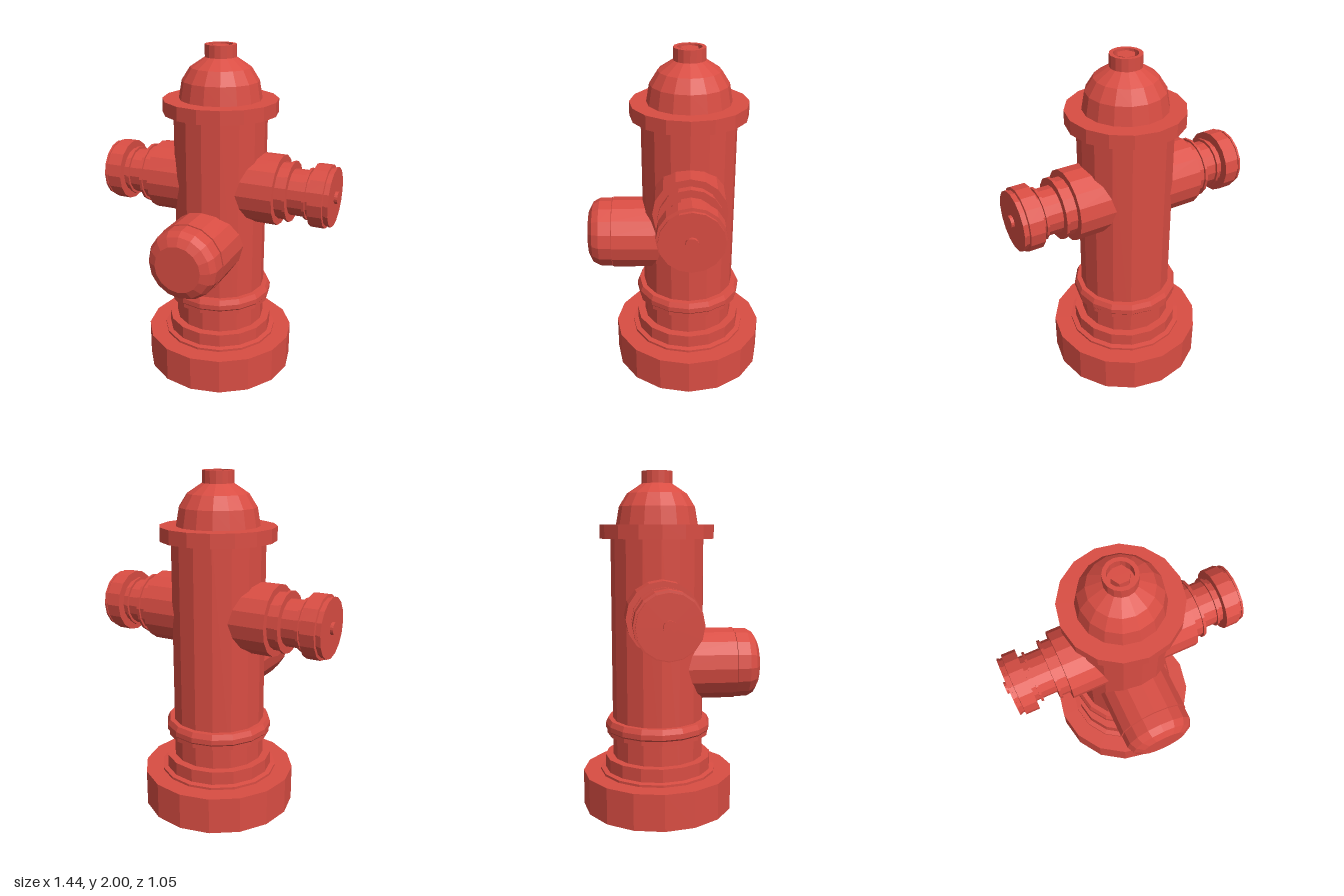
import * as THREE from 'three';

const SIDES = 16;
const AXIS_Z = -0.07;

export function createModel() {
  const red = new THREE.MeshStandardMaterial({ color: 0xd94d43, flatShading: true });
  red.name = 'hydrant red';

  const model = new THREE.Group();
  model.name = 'fireHydrant';

  // Revolves [radius, height] pairs, listed from bottom to top
  const turned = (name, profile, parent = model, sides = SIDES) => {
    const points = profile.map(([r, y]) => new THREE.Vector2(r, y));
    const mesh = new THREE.Mesh(new THREE.LatheGeometry(points, sides), red);
    mesh.name = name;
    parent.add(mesh);
    return mesh;
  };

  // Upright parts share one axis
  const column = new THREE.Group();
  column.name = 'column';
  column.position.z = AXIS_Z;
  model.add(column);

  turned('base', [[0, 0], [0.455, 0], [0.455, 0.218], [0, 0.218]], column);
  turned('baseCollar', [
    [0.35, 0.21], [0.35, 0.232], [0.32, 0.236], [0.32, 0.315], [0.26, 0.315],
  ], column);
  turned('barrel', [[0.273, 0.22], [0.273, 1.65]], column);
  turned('barrelRing', [
    [0.26, 0.45], [0.307, 0.45], [0.307, 0.475], [0.316, 0.485],
    [0.316, 0.515], [0.302, 0.545], [0.26, 0.545],
  ], column);
  turned('topFlange', [
    [0.25, 1.617], [0.335, 1.617], [0.335, 1.697], [0, 1.697],
  ], column);
  turned('bonnet', [
    [0.24, 1.697], [0.222, 1.8], [0.175, 1.874], [0.09, 1.93], [0, 1.93],
  ], column);
  // Hollow cap with a hexagonal nut inside
  turned('topCap', [
    [0.09, 1.92], [0.09, 2], [0.068, 2], [0.068, 1.945], [0, 1.945],
  ], column);
  const nut = new THREE.Mesh(new THREE.CylinderGeometry(0.052, 0.052, 0.055, 6), red);
  nut.name = 'operatingNut';
  nut.position.y = 1.967;
  nut.rotation.y = Math.PI / 6;
  column.add(nut);

  // Mirrored side outlets
  for (const side of [1, -1]) {
    const outlet = new THREE.Group();
    outlet.name = side > 0 ? 'leftOutlet' : 'rightOutlet';
    outlet.position.set(0, 1.193, AXIS_Z);
    outlet.rotation.z = -side * Math.PI / 2;
    model.add(outlet);
    turned('outletBarrel', [[0.206, 0.1], [0.206, 0.39], [0, 0.39]], outlet);
    turned('outletNeck', [
      [0.166, 0.38], [0.166, 0.443], [0.178, 0.443], [0.178, 0.459], [0.135, 0.459],
      [0.135, 0.548], [0.15, 0.548], [0.15, 0.562], [0.135, 0.562], [0.135, 0.6],
    ], outlet);
    turned('outletCap', [
      [0.12, 0.588], [0.183, 0.588], [0.183, 0.67], [0.166, 0.672], [0.166, 0.69],
      [0.172, 0.69], [0.172, 0.702], [0, 0.702],
    ], outlet);
    turned('capStud', [[0.035, 0.69], [0.035, 0.72], [0, 0.72]], outlet);
  }

  // Large front outlet
  const front = new THREE.Group();
  front.name = 'frontOutlet';
  front.position.set(0, 0.87, 0);
  front.rotation.x = Math.PI / 2;
  model.add(front);
  turned('frontBarrel', [[0.215, 0], [0.215, 0.383], [0.19, 0.383]], front);
  turned('frontCap', [
    [0.19, 0.383], [0.21, 0.387], [0.208, 0.462], [0.186, 0.502], [0.138, 0.528], [0, 0.528],
  ], front);

  return model;
}
